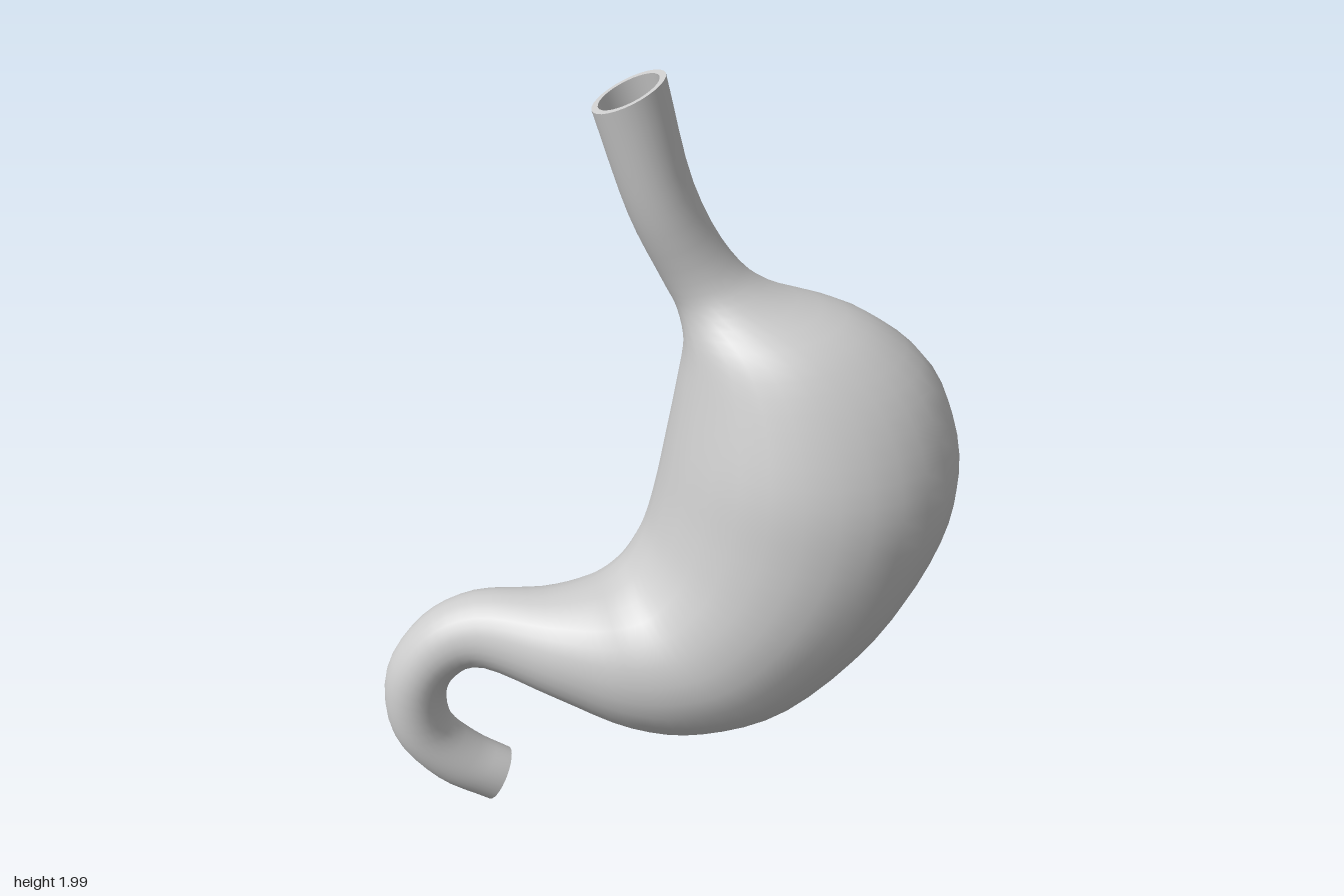
import * as THREE from 'three';

// Cross-sections from the gullet to the gut outlet:
// inner-curve point (x, y), outer-curve point (x, y), depth centre, depth radius
const SECTIONS = [
  [-0.16, 1.92, 0.01, 2.0, -0.07, 0.097],
  [-0.08, 1.67, 0.075, 1.74, -0.07, 0.1],
  [0.0, 1.5, 0.17, 1.56, -0.07, 0.102],
  [0.035, 1.43, 0.28, 1.473, -0.05, 0.125],
  [0.047, 1.35, 0.5, 1.4, -0.015, 0.2],
  [0.03, 1.23, 0.67, 1.26, -0.01, 0.28],
  [0.003, 1.08, 0.745, 1.05, -0.005, 0.345],
  [-0.025, 0.94, 0.72, 0.84, 0, 0.362],
  [-0.055, 0.84, 0.58, 0.58, 0.012, 0.35],
  [-0.1, 0.77, 0.34, 0.355, 0.038, 0.305],
  [-0.145, 0.742, 0.1, 0.29, 0.065, 0.255],
  [-0.21, 0.725, -0.1, 0.325, 0.085, 0.208],
  [-0.32, 0.703, -0.3, 0.418, 0.075, 0.153],
  [-0.5, 0.675, -0.48, 0.472, 0.015, 0.106],
  [-0.64, 0.6, -0.555, 0.438, 0, 0.092],
  [-0.74, 0.45, -0.588, 0.37, 0, 0.088],
  [-0.74, 0.26, -0.577, 0.27, 0, 0.088],
  [-0.64, 0.11, -0.505, 0.19, 0, 0.088],
  [-0.5, 0.01, -0.425, 0.14, 0, 0.076],
];
const SIDES = 28, STEPS = 4, WALL = 0.016;

// Smooth curve through one pair of section columns
const column = (k) => new THREE.CatmullRomCurve3(
  SECTIONS.map((s) => new THREE.Vector3(s[k], s[k + 1], 0)), false, 'catmullrom', 0.5);

// One elliptical ring, shrunk by inset
function ring(inner, outer, depth, t, inset) {
  const a = inner.getPoint(t), b = outer.getPoint(t), d = depth.getPoint(t);
  const mid = a.clone().add(b).multiplyScalar(0.5);
  const dir = b.clone().sub(a).normalize();
  const half = a.distanceTo(b) / 2 - inset, deep = d.y - inset;
  return Array.from({ length: SIDES }, (_, j) => {
    const angle = (j / SIDES) * Math.PI * 2;
    const p = mid.clone().addScaledVector(dir, Math.cos(angle) * half);
    p.z = d.x + Math.sin(angle) * deep;
    return p;
  });
}

// Joins a list of rings into a skin
function skin(rings) {
  const index = [];
  for (let i = 0; i < rings.length - 1; i++) {
    for (let j = 0; j < SIDES; j++) {
      const a = i * SIDES + j, b = i * SIDES + (j + 1) % SIDES;
      index.push(a, b, a + SIDES, b, b + SIDES, a + SIDES);
    }
  }
  const geometry = new THREE.BufferGeometry().setFromPoints(rings.flat());
  geometry.setIndex(index);
  geometry.computeVertexNormals();
  return geometry;
}

export function createModel() {
  const group = new THREE.Group();
  group.name = 'stomach';
  const material = new THREE.MeshStandardMaterial({ color: 0xcccccc });
  const inner = column(0), outer = column(2), depth = column(4);
  const count = (SECTIONS.length - 1) * STEPS;
  const wall = (inset) => Array.from({ length: count + 1 },
    (_, i) => ring(inner, outer, depth, i / count, inset));
  const add = (name, rings) => {
    const mesh = new THREE.Mesh(skin(rings), material);
    mesh.name = name;
    group.add(mesh);
  };

  // Outer wall, inner lining and the flat rims at both openings
  const outside = wall(0), inside = wall(WALL);
  add('outerWall', outside);
  add('innerLining', inside.slice().reverse());
  add('gulletRim', [inside[0], outside[0]]);
  add('outletRim', [outside[count], inside[count]]);
  return group;
}
